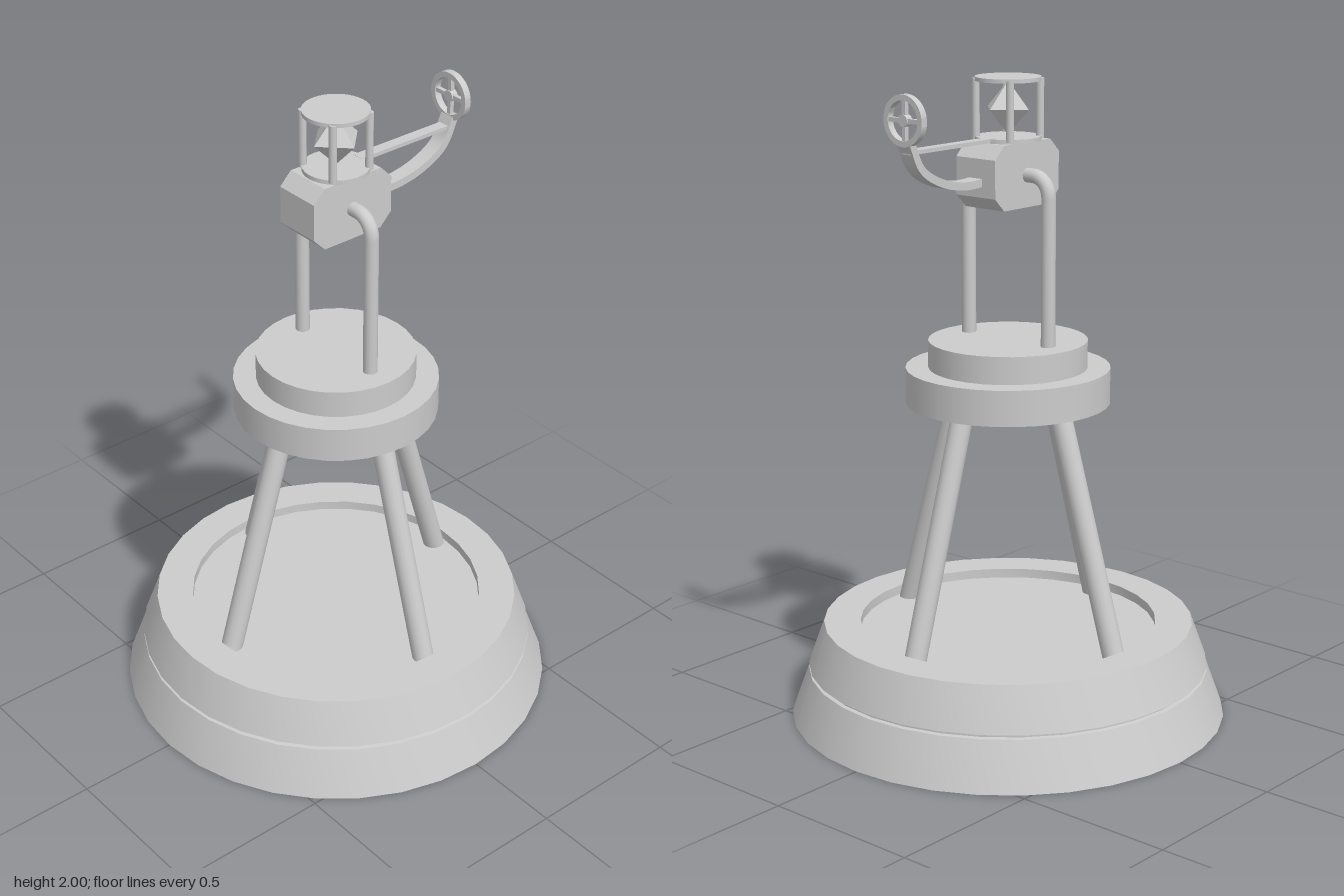
import * as THREE from 'three';
import { toCreasedNormals } from 'three/addons/utils/BufferGeometryUtils.js';

const grey = new THREE.MeshStandardMaterial({ color: 0xcccccc });
const faceted = new THREE.MeshStandardMaterial({ color: 0xcccccc, flatShading: true });
const V = (x, y, z) => new THREE.Vector3(x, y, z);

export function createModel() {
  const model = new THREE.Group();
  model.name = 'buoy';

  const add = (name, geometry, material = grey) => {
    const mesh = new THREE.Mesh(geometry, material);
    mesh.name = name;
    model.add(mesh);
    return mesh;
  };
  // Upright disc between two heights
  const disc = (name, r, y0, y1, seg = 32) =>
    add(name, new THREE.CylinderGeometry(r, r, y1 - y0, seg).translate(0, (y0 + y1) / 2, 0));
  // Round bar between two points
  const bar = (name, a, b, r, seg = 16) => {
    const dir = b.clone().sub(a);
    const mesh = add(name, new THREE.CylinderGeometry(r, r, dir.length(), seg));
    mesh.position.copy(a).add(b).multiplyScalar(0.5);
    mesh.quaternion.setFromUnitVectors(V(0, 1, 0), dir.normalize());
    return mesh;
  };
  // Side profile in (z, y), given a width along x
  const sideExtrude = (points, width) =>
    new THREE.ExtrudeGeometry(new THREE.Shape(points.map(([z, y]) => new THREE.Vector2(z, y))),
      { depth: width, bevelEnabled: false }).translate(0, 0, -width / 2).rotateY(-Math.PI / 2);

  // Floating base: two tapered bands, a groove between them and a sunken deck
  const base = [[0, 0], [0.685, 0], [0.63, 0.15], [0.617, 0.152], [0.617, 0.16], [0.63, 0.163],
    [0.58, 0.3], [0.465, 0.3], [0.465, 0.27], [0, 0.27]].map(([x, y]) => new THREE.Vector2(x, y));
  add('floatBase', toCreasedNormals(new THREE.LatheGeometry(base, 32), 0.35));

  // Four leaning legs
  for (let i = 0; i < 4; i++) {
    const a = i * Math.PI / 2;
    const at = (r, y) => V(Math.sin(a) * r, y, Math.cos(a) * r);
    bar('leg', at(0.43, 0.26), at(0.203, 1.02), 0.034);
  }

  // Stepped platform
  disc('lowerPlatform', 0.315, 1.005, 1.115);
  disc('upperPlatform', 0.245, 1.115, 1.2);

  // Bent posts holding the housing
  for (const s of [-1, 1]) {
    const path = new THREE.CurvePath();
    path.add(new THREE.LineCurve3(V(s * 0.16, 1.19, 0), V(s * 0.16, 1.65, 0)));
    path.add(new THREE.CubicBezierCurve3(V(s * 0.16, 1.65, 0), V(s * 0.16, 1.685, 0),
      V(s * 0.135, 1.712, 0), V(s * 0.1, 1.712, 0)));
    path.add(new THREE.LineCurve3(V(s * 0.1, 1.712, 0), V(s * 0.06, 1.712, 0)));
    add('bentPost', new THREE.TubeGeometry(path, 64, 0.022, 16));
  }

  // Chamfered housing
  add('housing', sideExtrude([[-0.105, 1.615], [0.105, 1.615], [0.145, 1.655], [0.145, 1.77],
    [0.105, 1.81], [-0.105, 1.81], [-0.145, 1.77], [-0.145, 1.655]], 0.154));

  // Lantern cage with its lamp
  disc('lanternFloor', 0.1, 1.81, 1.823);
  disc('lanternRoof', 0.1, 1.988, 2);
  for (const x of [-1, 1]) for (const z of [-1, 1])
    bar('lanternPost', V(x * 0.068, 1.815, z * 0.068), V(x * 0.068, 1.995, z * 0.068), 0.012, 12);
  add('lamp', new THREE.OctahedronGeometry(0.081), faceted).position.y = 1.906;

  // Curved rear arm: a flat strip following a curve
  const curve = new THREE.CatmullRomCurve3([V(-0.13, 1.70, 0), V(-0.22, 1.698, 0),
    V(-0.32, 1.72, 0), V(-0.4, 1.767, 0), V(-0.44, 1.845, 0)]);
  const upper = [], lower = [];
  for (let i = 0; i <= 20; i++) {
    const p = curve.getPoint(i / 20), t = curve.getTangent(i / 20);
    upper.push([p.x - t.y * 0.012, p.y + t.x * 0.012]);
    lower.unshift([p.x + t.y * 0.012, p.y - t.x * 0.012]);
  }
  add('curvedArm', toCreasedNormals(sideExtrude([...upper, ...lower], 0.05), 0.6));

  // Straight tie above it
  add('tieBar', new THREE.BoxGeometry(0.036, 0.012, 0.36)).position.set(0, 1.818, -0.26);

  // Spoked wheel at the end of the arm
  const rim = new THREE.Shape().absarc(0, 0, 0.075, 0, Math.PI * 2);
  rim.holes.push(new THREE.Path().absarc(0, 0, 0.058, 0, Math.PI * 2, true));
  const rimGeo = new THREE.ExtrudeGeometry(rim, { depth: 0.022, bevelEnabled: false, curveSegments: 24 });
  const wheel = new THREE.Group();
  wheel.name = 'wheel';
  wheel.position.set(0, 1.91, -0.443);
  const part = (name, geometry) => {
    const mesh = new THREE.Mesh(geometry, grey);
    mesh.name = name;
    wheel.add(mesh);
  };
  part('rim', toCreasedNormals(rimGeo.translate(0, 0, -0.011), 0.6));
  part('hub', new THREE.CylinderGeometry(0.018, 0.018, 0.022, 16).rotateX(Math.PI / 2));
  for (let i = 0; i < 2; i++)
    part('spoke', new THREE.BoxGeometry(0.124, 0.013, 0.014).rotateZ(i * Math.PI / 2));
  model.add(wheel);

  return model;
}
